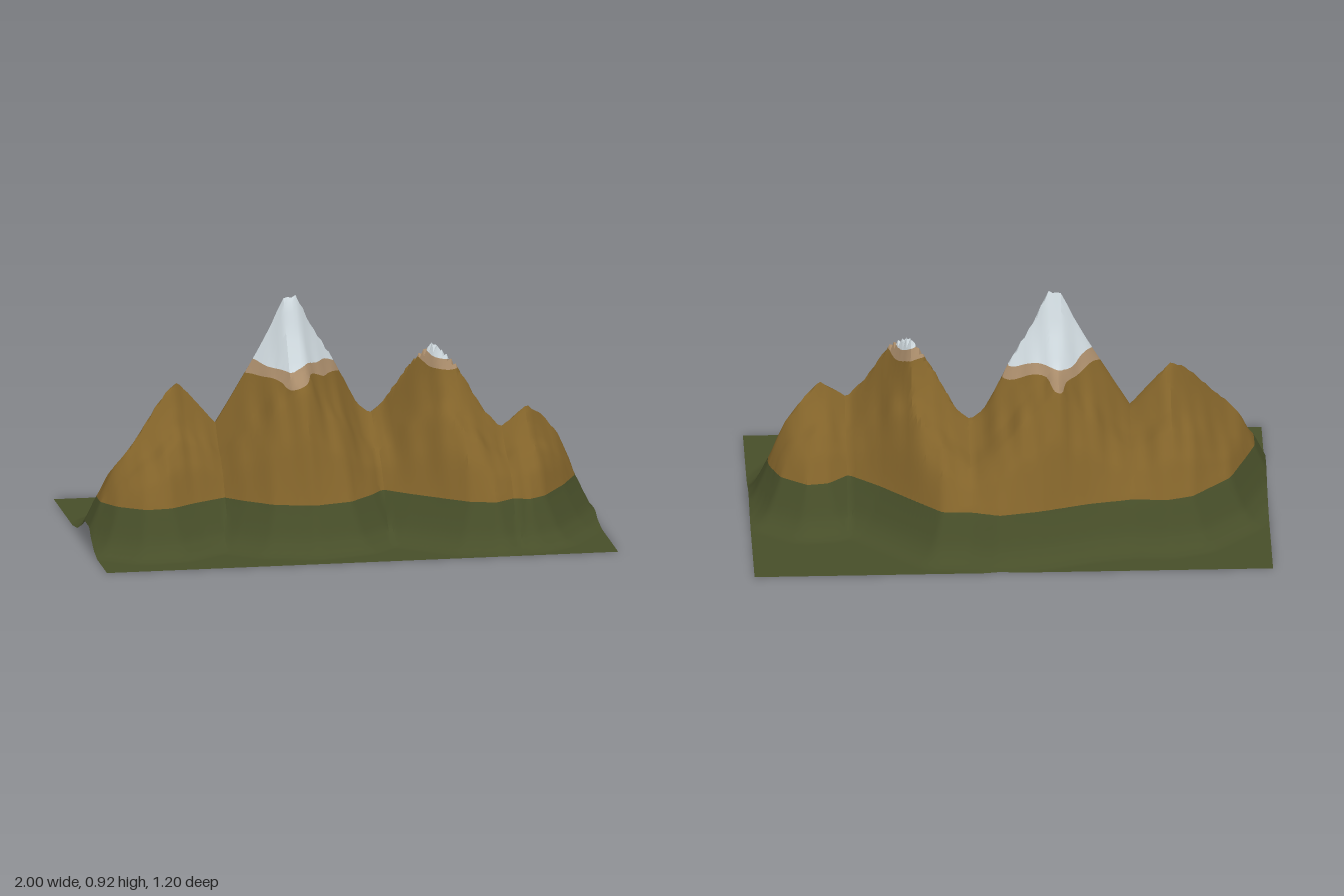
import * as THREE from 'three';
import { toCreasedNormals } from 'three/addons/utils/BufferGeometryUtils.js';

// Piecewise-linear curve through [input, output] points
const curve = (pts) => (v) => {
  if (v <= pts[0][0]) return pts[0][1];
  for (let i = 1; i < pts.length; i++) {
    const [a, p] = pts[i - 1], [b, q] = pts[i];
    if (v <= b) return p + ((q - p) * (v - a)) / (b - a);
  }
  return pts[pts.length - 1][1];
};

// Height of the crest along x: four peaks with passes between
const crestHeight = curve([
  [-0.955, 0.18], [-0.9, 0.3], [-0.8, 0.41], [-0.7, 0.54], [-0.63, 0.6], [-0.58, 0.56], [-0.47, 0.43],
  [-0.37, 0.6], [-0.25, 0.81], [-0.2, 0.92], [-0.15, 0.92], [-0.1, 0.81], [0, 0.65], [0.1, 0.46], [0.15, 0.42],
  [0.2, 0.46], [0.3, 0.63], [0.38, 0.73], [0.46, 0.64], [0.55, 0.48], [0.62, 0.4], [0.68, 0.45], [0.73, 0.48],
  [0.8, 0.42], [0.85, 0.36], [0.9, 0.26], [0.925, 0.18],
]);
// Depth of the crest along x
const crestZ = curve([
  [-0.955, 0.14], [-0.85, 0.14], [-0.7, 0.05], [-0.6, -0.02], [-0.3, -0.02], [-0.17, -0.01], [0, -0.08],
  [0.06, -0.11], [0.2, -0.11], [0.3, -0.05], [0.38, 0.01], [0.45, 0.09], [0.6, 0.14], [0.72, 0.12], [0.8, 0.06], [0.925, 0.03],
]);
// Tree line, where the slopes reach 0.18, behind and in front of the crest
const treeLine = 0.18;
const backPts = [
  [-0.955, 0.09], [-0.92, 0], [-0.85, -0.18], [-0.7, -0.33], [-0.6, -0.36], [-0.47, -0.35], [-0.3, -0.38], [-0.1, -0.44],
  [0.05, -0.47], [0.15, -0.44], [0.27, -0.43], [0.4, -0.3], [0.5, -0.2], [0.62, -0.1], [0.7, -0.17], [0.78, -0.18],
  [0.88, -0.11], [0.925, 0],
];
const frontPts = [
  [-0.955, 0.19], [-0.9, 0.28], [-0.8, 0.35], [-0.7, 0.34], [-0.6, 0.27], [-0.47, 0.2], [-0.4, 0.27], [-0.3, 0.35],
  [-0.15, 0.39], [0, 0.35], [0.1, 0.25], [0.15, 0.18], [0.25, 0.27], [0.35, 0.35], [0.45, 0.43], [0.55, 0.46],
  [0.63, 0.4], [0.68, 0.43], [0.75, 0.38], [0.85, 0.22], [0.925, 0.06],
];
const backZ = curve(backPts), frontZ = curve(frontPts);
const outline = [...backPts, ...[...frontPts].reverse()];

// Slope from crest to tree line, and foot from tree line to the plain
const slope = curve([[0, 1], [0.15, 0.82], [0.35, 0.64], [0.57, 0.54], [0.8, 0.32], [1, 0]]);
const foot = curve([[0, treeLine], [0.03, 0.115], [0.06, 0.055], [0.1, 0.015], [0.14, 0]]);

function distanceToOutline(x, z) {
  let best = Infinity;
  outline.forEach(([ax, az], i) => {
    const [bx, bz] = outline[(i + 1) % outline.length];
    const dx = bx - ax, dz = bz - az;
    const t = THREE.MathUtils.clamp(((x - ax) * dx + (z - az) * dz) / (dx * dx + dz * dz), 0, 1);
    best = Math.min(best, Math.hypot(x - ax - t * dx, z - az - t * dz));
  });
  return best;
}

function heightAt(x, z) {
  const inside = x > -0.955 && x < 0.925 && z > backZ(x) && z < frontZ(x);
  if (!inside) return foot(distanceToOutline(x, z));
  const mid = crestZ(x), edge = z < mid ? backZ(x) : frontZ(x);
  const t = THREE.MathUtils.clamp((z - mid) / (edge - mid), 0, 1);
  // Shallow gullies running down the slopes
  const gully = (Math.sin(x * 47 + z * 9) + 0.7 * Math.sin(x * 83 - z * 14 + 1)) * 0.03 * t * (1 - t);
  return Math.max(treeLine, treeLine + (crestHeight(x) - treeLine) * (slope(t) + gully * 2));
}

// Split a polygon of [x, y, z, key] at a key level into the parts below and above
function split(poly, level) {
  const below = [], above = [];
  poly.forEach((a, i) => {
    const b = poly[(i + 1) % poly.length];
    (a[3] < level ? below : above).push(a);
    if (a[3] < level !== b[3] < level) {
      const t = (level - a[3]) / (b[3] - a[3]);
      const cut = a.map((v, k) => v + (b[k] - v) * t);
      below.push(cut);
      above.push(cut);
    }
  });
  return [below, above];
}

export function createModel() {
  const group = new THREE.Group();
  group.name = 'mountainRange';
  const bands = [
    ['grassyFoothills', 'grassGreen', 0x474e29],
    ['rockSlopes', 'earthBrown', 0x82632a],
    ['snowFringe', 'paleTan', 0xa88b6a],
    ['snowCaps', 'snowWhite', 0xcdd7dc],
  ];
  const levels = [treeLine, 0.61, 0.655];
  const triangles = bands.map(() => []);

  // Terrain grid; the key wavers near the snow line
  const NX = 128, NZ = 80;
  const grid = [];
  for (let j = 0; j <= NZ; j++) {
    for (let i = 0; i <= NX; i++) {
      const x = -1 + (2 * i) / NX, z = -0.6 + (1.2 * j) / NZ;
      const y = heightAt(x, z);
      const wave = 0.014 * Math.sin(x * 30 + 1.5) + 0.008 * Math.sin(z * 45) - (x > 0.2 ? 0.02 : 0);
      grid.push([x, y, z, y + wave * THREE.MathUtils.smoothstep(y, 0.4, 0.55)]);
    }
  }

  // Cut every triangle into its colour bands
  const addTriangle = (...tri) => {
    let rest = tri;
    bands.forEach((_, k) => {
      let part = rest;
      if (k < levels.length) [part, rest] = split(rest, levels[k]);
      for (let n = 2; n < part.length; n++) {
        for (const p of [part[0], part[n - 1], part[n]]) triangles[k].push(p[0], p[1], p[2]);
      }
    });
  };
  for (let j = 0; j < NZ; j++) {
    for (let i = 0; i < NX; i++) {
      const a = j * (NX + 1) + i, c = a + NX + 1;
      addTriangle(grid[a], grid[c], grid[a + 1]);
      addTriangle(grid[a + 1], grid[c], grid[c + 1]);
    }
  }

  // Shade the whole terrain together, then give each band its own mesh
  let terrain = new THREE.BufferGeometry();
  terrain.setAttribute('position', new THREE.Float32BufferAttribute(triangles.flat(), 3));
  terrain = toCreasedNormals(terrain, 0.6);
  let start = 0;
  bands.forEach(([name, colourName, color], k) => {
    const end = start + triangles[k].length;
    const geometry = new THREE.BufferGeometry();
    for (const key of ['position', 'normal']) {
      geometry.setAttribute(key, new THREE.BufferAttribute(terrain.attributes[key].array.slice(start, end), 3));
    }
    start = end;
    const material = new THREE.MeshStandardMaterial({ color, side: THREE.DoubleSide });
    material.name = colourName;
    const mesh = new THREE.Mesh(geometry, material);
    mesh.name = name;
    group.add(mesh);
  });
  return group;
}
